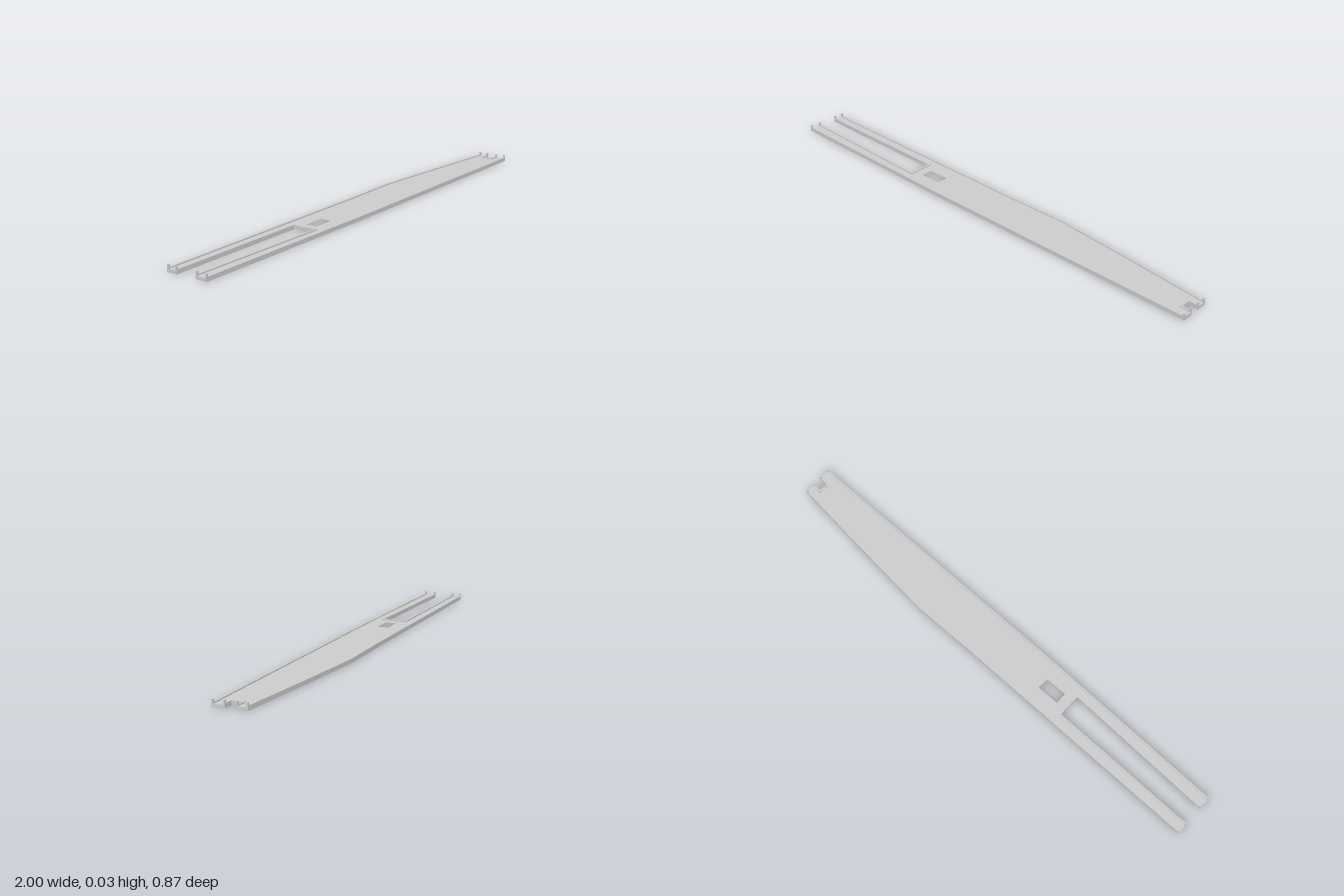
import * as THREE from 'three';

const FLOOR = 0.012, RIM = 0.017, PIN = 0.028, W = 0.007;
const material = new THREE.MeshStandardMaterial({ color: 0xcccccc, flatShading: true });

// Outline in plan as [x, z], split into the edges that carry a rim; the gaps between are open ends
const edges = {
  backEdge: [[-1, 0.265], [0, -0.125], [0.265, -0.233], [0.602, -0.334], [0.947, -0.433]],
  notch: [[0.963, -0.393], [0.926, -0.382], [0.94, -0.345], [0.98, -0.358]],
  frontEdge: [[1, -0.315], [-0.146, 0.136], [-0.937, 0.432]],
  slot: [[-0.953, 0.383], [-0.355, 0.168], [-0.39, 0.078], [-0.985, 0.307]],
};
const window_ = [[-0.341, 0.086], [-0.253, 0.05], [-0.237, 0.096], [-0.322, 0.131]];

const plan = (pts) => pts.map(([x, z]) => new THREE.Vector2(x, -z));

// Extrude a plan outline between two heights
function slab(name, pts, y0, y1, hole) {
  const shape = new THREE.Shape(plan(pts));
  if (hole) shape.holes.push(new THREE.Path(plan(hole)));
  const geo = new THREE.ExtrudeGeometry(shape, { depth: y1 - y0, bevelEnabled: false });
  geo.rotateX(-Math.PI / 2).translate(0, y0, 0);
  const mesh = new THREE.Mesh(geo, material);
  mesh.name = name;
  return mesh;
}

// Inward normal of a segment
function normal(a, b) {
  const dx = b[0] - a[0], dz = b[1] - a[1], l = Math.hypot(dx, dz);
  return [-dz / l, dx / l];
}

// Closed strip of width W lying inside an open run of edges, mitred at its corners
function strip(pts) {
  const inner = pts.map((p, i) => {
    const n1 = normal(pts[Math.max(i - 1, 0)], pts[Math.max(i, 1)]);
    const last = pts.length - 1;
    const n2 = normal(pts[Math.min(i, last - 1)], pts[Math.min(i + 1, last)]);
    const k = W / (1 + n1[0] * n2[0] + n1[1] * n2[1]);
    return [p[0] + (n1[0] + n2[0]) * k, p[1] + (n1[1] + n2[1]) * k];
  });
  return [...pts, ...inner.reverse()];
}

// Point a short distance from a towards b
function along(a, b, d) {
  const t = d / Math.hypot(b[0] - a[0], b[1] - a[1]);
  return [a[0] + (b[0] - a[0]) * t, a[1] + (b[1] - a[1]) * t];
}

export function createModel() {
  const group = new THREE.Group();
  group.name = 'forkedPlate';

  // Floor plate with prongs, end notch and window
  group.add(slab('plate', Object.values(edges).flat(), 0, FLOOR, window_));

  for (const [name, pts] of Object.entries(edges)) {
    // Low rim
    group.add(slab(name + 'Rim', strip(pts), FLOOR, RIM));
    // Upright pins at both ends of the rim
    const n = pts.length;
    const start = [pts[0], along(pts[0], pts[1], W)];
    const end = [along(pts[n - 1], pts[n - 2], W), pts[n - 1]];
    group.add(slab(name + 'StartPin', strip(start), RIM, PIN));
    group.add(slab(name + 'EndPin', strip(end), RIM, PIN));
  }
  return group;
}
